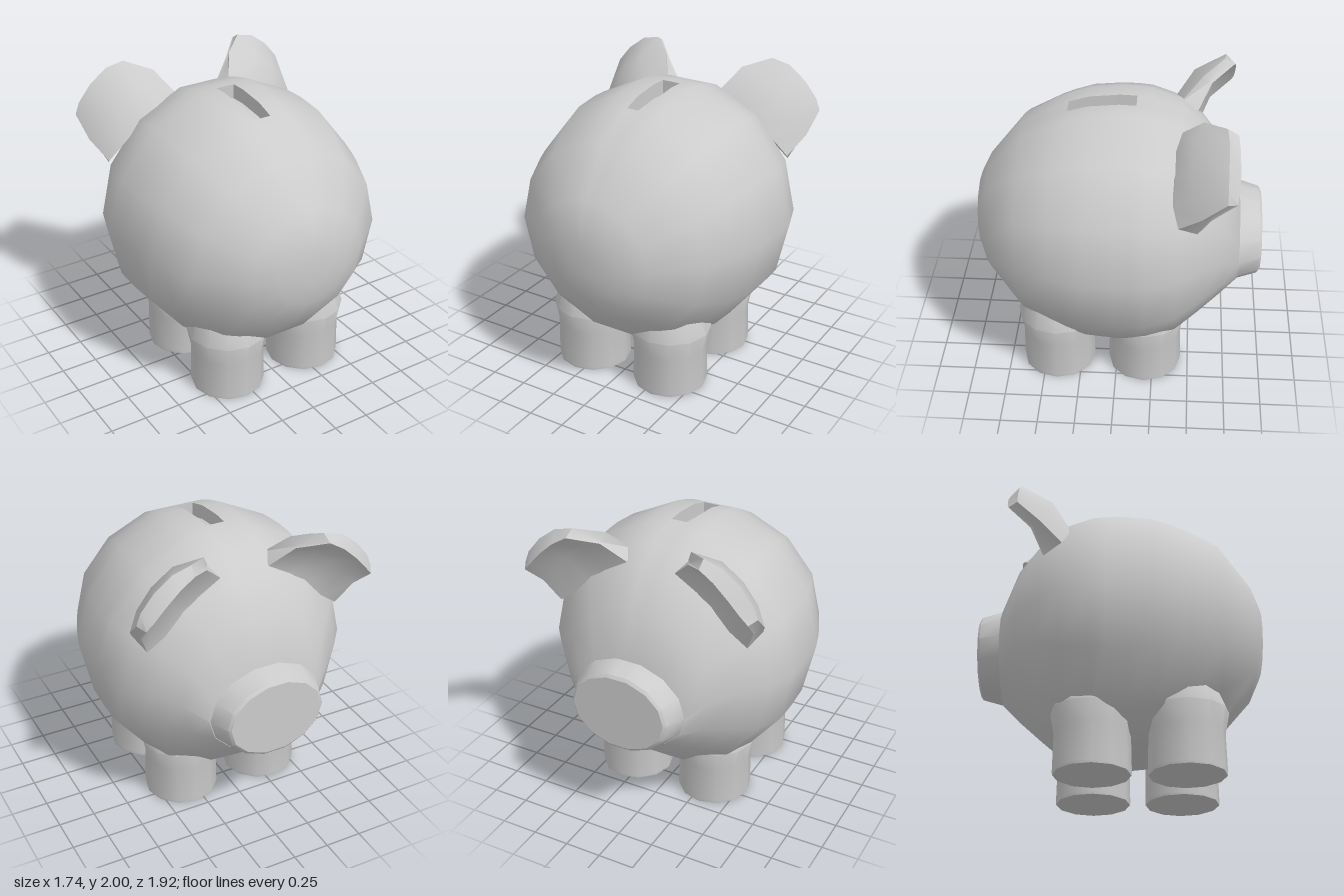
import * as THREE from 'three';
import { toCreasedNormals } from 'three/addons/utils/BufferGeometryUtils.js';

const grey = new THREE.MeshStandardMaterial({ color: 0xcccccc });

// Skin closed cross-sections into a solid with fan caps; skip(i, j) leaves a quad open.
function loft(rings, crease, skip = () => false) {
  const n = rings[0].length;
  const last = rings.length - 1;
  const pos = rings.flat(2);
  const idx = [];
  for (let i = 0; i < last; i++) {
    for (let j = 0; j < n; j++) {
      if (skip(i, j)) continue;
      const k = (j + 1) % n;
      const a = i * n + j, b = i * n + k, c = b + n, d = a + n;
      idx.push(a, d, c, a, c, b);
    }
  }
  for (const i of [0, last]) {
    const centre = pos.length / 3;
    for (let c = 0; c < 3; c++) pos.push(rings[i].reduce((s, p) => s + p[c], 0) / n);
    for (let j = 0; j < n; j++) {
      const a = i * n + j, b = i * n + (j + 1) % n;
      if (i === 0) idx.push(centre, a, b);
      else idx.push(centre, b, a);
    }
  }
  const geo = new THREE.BufferGeometry();
  geo.setAttribute('position', new THREE.Float32BufferAttribute(pos, 3));
  geo.setIndex(idx);
  return toCreasedNormals(geo, crease);
}

// 14-sided ring across z, with two extra points on the flat top for the slot edges.
const SLOT = 0.075;
function ring([z, rx, ry, cy]) {
  const pts = [];
  for (let j = 0; j < 14; j++) {
    const t = (j / 14) * Math.PI * 2;
    pts.push([rx * Math.cos(t), cy + ry * Math.sin(t), z]);
    if (j === 3) {
      const y = cy + ry * Math.sin(t);
      pts.push([SLOT * rx, y, z], [-SLOT * rx, y, z]);
    }
  }
  return pts;
}

export function createModel() {
  const group = new THREE.Group();
  const add = (name, geo) => {
    const mesh = new THREE.Mesh(geo, grey);
    mesh.name = name;
    group.add(mesh);
    return mesh;
  };

  // Body rings from rump to face: z, half-width, half-height, centre height
  const bodyRings = [
    [0.96, 0.1, 0.1, 1.06],
    [0.94, 0.25, 0.25, 1.06],
    [0.87, 0.42, 0.4, 1.05],
    [0.64, 0.7, 0.67, 1.06],
    [0.42, 0.79, 0.79, 1.06],
    [0.335, 0.82, 0.825, 1.06],
    [0.2, 0.86, 0.865, 1.06],
    [0.0, 0.868, 0.885, 1.06],
    [-0.11, 0.87, 0.88, 1.06],
    [-0.2, 0.868, 0.87, 1.06],
    [-0.4, 0.8, 0.805, 1.06],
    [-0.55, 0.68, 0.68, 1.06],
    [-0.7, 0.53, 0.52, 1.03],
    [-0.81, 0.4, 0.312, 0.935],
  ].map(ring);
  const slotFrom = 5, slotTo = 8;
  add('body', loft(bodyRings, 0.75, (i, j) => j === 4 && i >= slotFrom && i < slotTo));

  // Coin slot: inward-facing trough hung from the opening's edges
  const trough = bodyRings.slice(slotFrom, slotTo + 1).map((r) => {
    const [x, y, z] = r[4];
    return [[x, y, z], [x, y - 0.1, z], [-x, y - 0.1, z], [-x, y, z]];
  });
  add('coinSlot', loft(trough, 0.6, (i, j) => j === 3));

  // Snout
  add('snout', loft([
    [-0.8, 0.4, 0.312, 0.935],
    [-0.82, 0.39, 0.308, 0.935],
    [-0.945, 0.342, 0.275, 0.935],
    [-0.96, 0.325, 0.255, 0.935],
  ].map(ring), 0.6));

  // Ears: stations from inner to outer edge; back root, back middle, tip back, tip front, front root
  const stations = [
    [[0.2, 1.8, -0.39], [0.3, 1.95, -0.54], [0.455, 2.0, -0.68], [0.46, 1.96, -0.75], [0.17, 1.76, -0.51]],
    [[0.36, 1.76, -0.365], [0.48, 1.9, -0.48], [0.58, 1.97, -0.69], [0.56, 1.9, -0.76], [0.33, 1.67, -0.52]],
    [[0.52, 1.66, -0.355], [0.62, 1.79, -0.47], [0.7, 1.88, -0.69], [0.66, 1.81, -0.765], [0.46, 1.57, -0.53]],
    [[0.65, 1.54, -0.365], [0.73, 1.67, -0.49], [0.79, 1.77, -0.69], [0.74, 1.72, -0.76], [0.56, 1.46, -0.53]],
    [[0.73, 1.44, -0.4], [0.8, 1.56, -0.54], [0.82, 1.69, -0.69], [0.785, 1.67, -0.75], [0.68, 1.37, -0.52]],
  ].map(([b, m, t, f, g]) => {
    // hollow the inner face towards the back
    const hollow = m.map((v, c) => 0.35 * v + 0.325 * (f[c] + g[c]));
    return [b, m, t, f, hollow, g];
  });
  const mirrored = stations.map((s) => s.map(([x, y, z]) => [-x, y, z])).reverse();
  add('rightSideEar', loft(stations, 0.8)).name = 'earPlusX';
  add('leftSideEar', loft(mirrored, 0.8)).name = 'earMinusX';

  // Legs: short stumps flaring into the belly
  const legProfile = [[0, 0], [0.25, 0], [0.252, 0.02], [0.247, 0.28], [0.275, 0.42], [0.2, 0.6], [0, 0.62]]
    .map(([r, y]) => new THREE.Vector2(r, y));
  const legGeo = toCreasedNormals(new THREE.LatheGeometry(legProfile, 12), 0.75);
  for (const x of [-0.31, 0.31]) {
    for (const [name, z] of [['frontLeg', -0.195], ['backLeg', 0.41]]) {
      add(name, legGeo).position.set(x, 0, z);
    }
  }
  return group;
}
